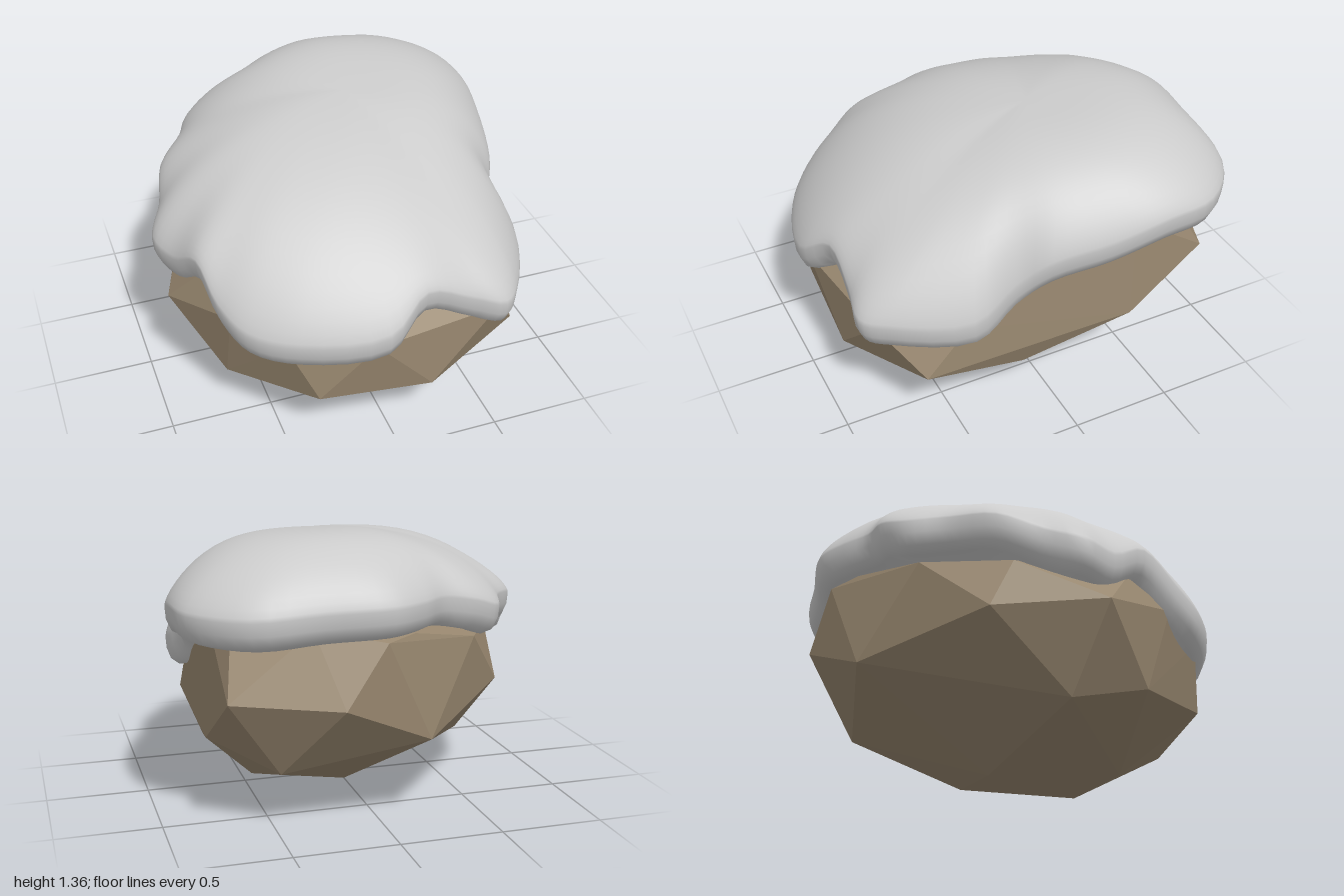
import * as THREE from 'three';
import { ConvexGeometry } from 'three/addons/geometries/ConvexGeometry.js';

// Faceted boulder: convex hull of its corner points.
function makeBoulder() {
  const corners = [
    // underside
    [0, 0, -0.11], [0.49, 0.08, -0.12], [0.45, 0.08, 0.5], [0.02, 0.08, 0.59], [-0.69, 0.16, 0.08],
    // lower ring
    [0.2, 0.26, 0.89], [-0.36, 0.3, 0.86], [-0.7, 0.24, 0.45], [0.72, 0.35, 0.66], [0.69, 0.23, 0.14],
    [0.77, 0.39, -0.41], [0.48, 0.28, -0.71], [-0.21, 0.42, -0.82],
    // middle ring
    [-0.91, 0.57, 0.2], [-0.74, 0.54, -0.32], [0.25, 0.64, -0.99], [0.74, 0.66, -0.81],
    [0.72, 0.58, 0.45], [0.55, 0.6, 0.84], [-0.1, 0.6, 0.93], [-0.5, 0.6, 0.8], [-0.7, 0.66, 0.58],
    [-0.77, 0.77, 0.34],
    // crown under the snow
    [0.04, 0.92, -0.93], [0.35, 0.97, -0.81], [0.69, 0.94, -0.65], [0.74, 0.92, -0.43], [0.67, 0.82, 0],
    [0.66, 0.76, 0.33], [-0.12, 0.93, -0.82], [-0.5, 0.84, -0.6], [-0.72, 0.8, -0.2],
    [0.3, 1.12, -0.3], [-0.4, 0.98, 0], [0.3, 0.95, 0.4],
  ].map((p) => new THREE.Vector3(...p));
  const material = new THREE.MeshStandardMaterial({ color: 0x998870, flatShading: true });
  const mesh = new THREE.Mesh(new ConvexGeometry(corners), material);
  mesh.name = 'boulder';
  return mesh;
}

// Snow cap: a dome swept to a wavy rim, then rolled under towards the rock.
function makeSnowCap() {
  // Rim points as [x, height of lower lip, z], going round the cap.
  const curve = new THREE.CatmullRomCurve3([
    [0.94, 0.91, -0.47], [0.9, 0.91, -0.73], [0.66, 0.91, -0.95], [0.34, 0.93, -0.98], [0.03, 0.94, -1],
    [-0.14, 0.94, -0.91], [-0.27, 0.94, -0.81], [-0.44, 0.91, -0.78], [-0.58, 0.86, -0.69], [-0.66, 0.87, -0.5],
    [-0.8, 0.84, -0.31], [-0.86, 0.76, -0.1], [-0.94, 0.69, 0.08], [-0.88, 0.67, 0.24], [-0.81, 0.76, 0.42],
    [-0.76, 0.62, 0.6], [-0.67, 0.54, 0.75], [-0.46, 0.52, 0.89], [-0.06, 0.55, 0.99], [0.15, 0.68, 0.9],
    [0.38, 0.59, 0.9], [0.55, 0.53, 0.92], [0.65, 0.53, 0.82], [0.82, 0.54, 0.46], [0.78, 0.65, 0.23],
    [0.84, 0.77, 0.08], [0.91, 0.84, -0.2],
  ].map((p) => new THREE.Vector3(...p)), true, 'centripetal');

  const around = 108, domeRings = 18, crown = 1.33, centre = new THREE.Vector3(0.12, 0, -0.15);
  const rim = Array.from({ length: around }, (_, a) => curve.getPoint(a / around).sub(centre));
  // Averaged rim, so that the waves fade out towards the crown.
  const span = 8;
  const softRim = rim.map((_, a) => {
    const sum = new THREE.Vector3();
    for (let k = -span; k <= span; k++) sum.add(rim[(a + k + around) % around]);
    return sum.divideScalar(2 * span + 1);
  });

  // Underside stages: [distance pulled inwards, height above the lower lip]
  const roll = [[0.005, 0.08], [0.03, 0.025], [0.08, 0], [0.14, 0.01], [0.26, 0.06], [0.42, 0.1]];
  const rings = domeRings + roll.length;
  const positions = [centre.x, crown, centre.z];
  const index = [];

  for (let r = 1; r <= rings; r++) {
    for (let a = 0; a < around; a++) {
      const p = rim[a].clone();
      let f, y;
      if (r <= domeRings) {
        f = Math.sin((r / domeRings) * Math.PI / 2);
        p.lerpVectors(softRim[a], rim[a], Math.pow(f, 5));
        // The back right and front left shoulders are fuller than the rest.
        const heading = Math.atan2(softRim[a].z, softRim[a].x);
        const back = THREE.MathUtils.smoothstep(Math.cos(heading + 0.64), -0.5, 0.8);
        const front = THREE.MathUtils.smoothstep(Math.cos(heading - 2.35), 0.4, 1);
        const dome = Math.pow(Math.max(0, 1 - Math.pow(f, 2.05 + 1.7 * back + 0.75 * front)), 0.68);
        const middle = p.y + 0.14;
        y = middle + (crown - 0.12 * p.z * f - middle) * dome;
      } else {
        const [inset, lift] = roll[r - domeRings - 1];
        f = 1 - inset / Math.hypot(p.x, p.z);
        y = p.y + lift;
      }
      positions.push(centre.x + p.x * f, y, centre.z + p.z * f);
    }
  }

  // The rim runs counter-clockwise seen from above.
  const at = (r, a) => 1 + (r - 1) * around + (a % around);
  for (let a = 0; a < around; a++) {
    index.push(0, at(1, a), at(1, a + 1));
    for (let r = 1; r < rings; r++) {
      index.push(at(r, a), at(r + 1, a), at(r + 1, a + 1));
      index.push(at(r, a), at(r + 1, a + 1), at(r, a + 1));
    }
  }
  const geometry = new THREE.BufferGeometry();
  geometry.setAttribute('position', new THREE.Float32BufferAttribute(positions, 3));
  geometry.setIndex(index);
  geometry.computeVertexNormals();
  const material = new THREE.MeshStandardMaterial({ color: 0xcccccc, side: THREE.DoubleSide });
  const mesh = new THREE.Mesh(geometry, material);
  mesh.name = 'snowCap';
  return mesh;
}

export function createModel() {
  const group = new THREE.Group();
  group.name = 'snowyBoulder';
  group.add(makeBoulder(), makeSnowCap());
  return group;
}
